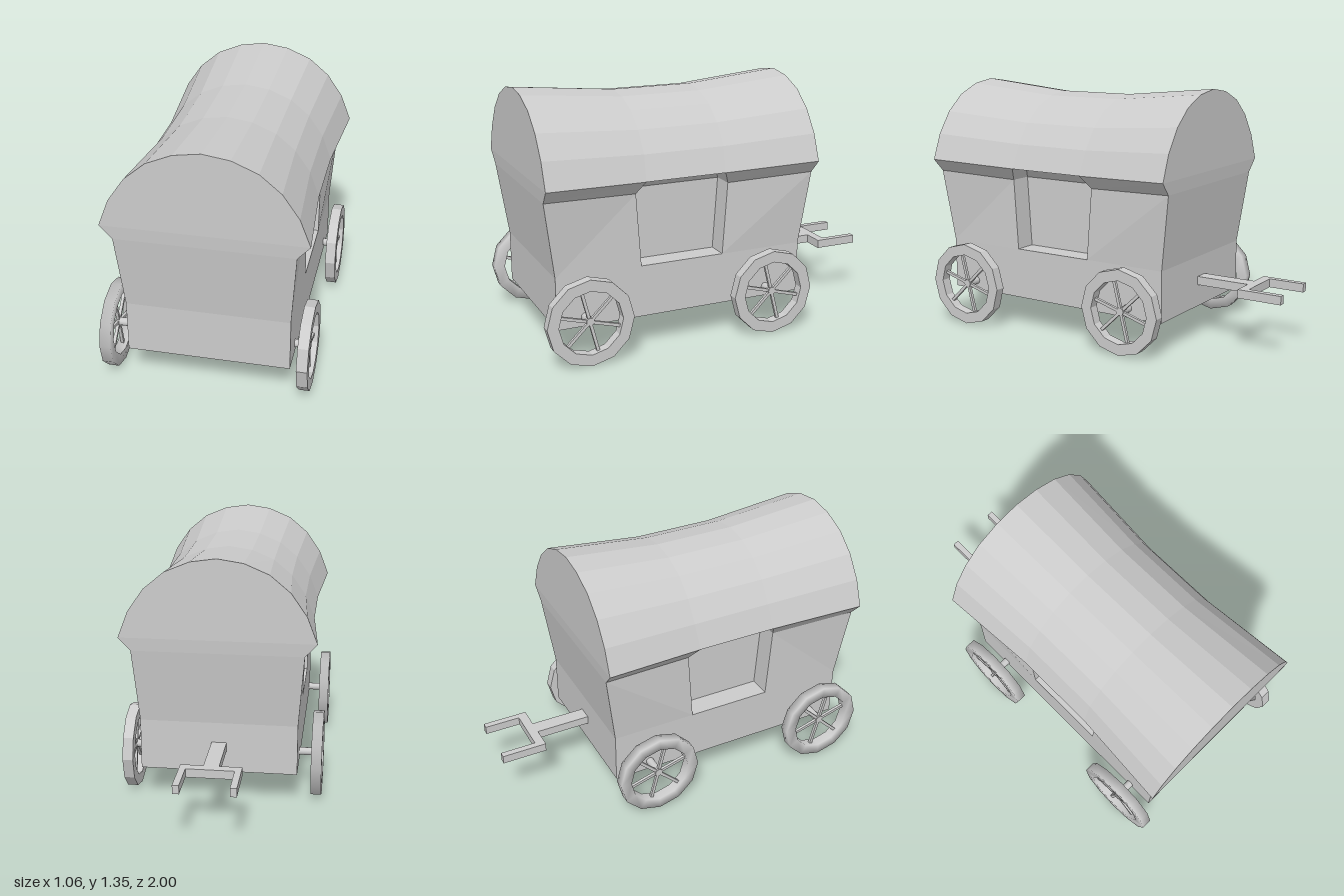
import * as THREE from 'three';

const flat = new THREE.MeshStandardMaterial({ color: 0xcccccc, flatShading: true });
const smooth = new THREE.MeshStandardMaterial({ color: 0xcccccc });
const CX = 0.015; // body centre line

function add(parent, name, geometry, material, x = 0, y = 0, z = 0) {
  const mesh = new THREE.Mesh(geometry, material);
  mesh.name = name;
  mesh.position.set(x, y, z);
  parent.add(mesh);
  return mesh;
}

// Wagon shell: four cross-sections from front to back, with a recess in each side
function bodyGeometry() {
  // half width and height, from the floor up to the ridge
  const endRows = [[0.417, 0.18], [0.417, 0.455], [0.447, 0.855], [0.51, 0.925], [0.456, 1.065],
    [0.373, 1.185], [0.266, 1.275], [0.136, 1.33], [0, 1.35]];
  const midRows = endRows.map(([w, y], i) => {
    if (i < 2) return [w, y];
    if (i === 2) return [0.415, 0.84];
    return [w * 0.922, 0.91 + (y - 0.925) * 0.918];
  });
  // z of each row at the four stations; rows past the last repeat it
  const zRows = [[0.92, 0.46, 0, -0.46], [0.92, 0.46, 0, -0.46], [0.975, 0.485, -0.03, -0.515],
    [0.98, 0.45, 0.01, -0.52], [0.98, 0.44, 0, -0.52]];
  const top = endRows.length - 1;
  const depth = 0.12;
  const pos = [];

  const point = (s, r, inset = 0) => {
    const [w, y] = (s === 0 || s === 3 ? endRows : midRows)[r];
    return [w - inset, y, zRows[Math.min(r, 4)][s]];
  };
  const quad = (side, a, b, c, d) => {
    const order = side > 0 ? [a, b, c, a, c, d] : [a, c, b, a, d, c];
    for (const p of order) pos.push(CX + side * p[0], p[1], p[2]);
  };
  const mirror = ([x, y, z]) => [-x, y, z];

  for (const side of [1, -1]) {
    // walls, eaves and roof strips
    for (let s = 0; s < 3; s++) {
      for (let r = 0; r < top; r++) {
        const inset = s === 1 && (r === 1 || r === 2) ? depth : 0;
        quad(side, point(s, r, inset), point(s + 1, r, inset),
          point(s + 1, r + 1, inset), point(s, r + 1, inset));
      }
    }
    // sill, jambs and head of the recess
    const rim = [[1, 1], [2, 1], [2, 2], [2, 3], [1, 3], [1, 2]];
    rim.forEach((a, i) => {
      const b = rim[(i + 1) % rim.length];
      quad(side, point(...a), point(...b), point(...b, depth), point(...a, depth));
    });
  }
  // front and back walls
  for (let r = 0; r < top; r++) {
    const f = point(0, r), f2 = point(0, r + 1), b = point(3, r), b2 = point(3, r + 1);
    quad(1, mirror(f), f, f2, mirror(f2));
    quad(1, b, mirror(b), mirror(b2), b2);
  }
  // floor
  const f = point(0, 0), b = point(3, 0);
  quad(1, f, mirror(f), mirror(b), b);

  const g = new THREE.BufferGeometry();
  g.setAttribute('position', new THREE.Float32BufferAttribute(pos, 3));
  g.computeVertexNormals();
  return g;
}

// Twelve-sided rim with three crossing pairs of spokes
function makeWheel(name, material) {
  const wheel = new THREE.Group();
  wheel.name = name;
  const ri = 0.17, ro = 0.23, w = 0.028;
  const profile = [[ri, -w], [ro, -w], [ro, w], [ri, w], [ri, -w]].map(p => new THREE.Vector2(...p));
  add(wheel, 'rim', new THREE.LatheGeometry(profile, 12).rotateZ(Math.PI / 2), material);
  for (let i = 0; i < 3; i++) {
    const spoke = add(wheel, 'spokePair', new THREE.BoxGeometry(0.016, 0.35, 0.016), flat);
    spoke.rotation.x = THREE.MathUtils.degToRad(14 + i * 60);
  }
  return wheel;
}

export function createModel() {
  const wagon = new THREE.Group();
  wagon.name = 'coveredWagon';
  add(wagon, 'body', bodyGeometry(), flat);

  // axles and wheels
  for (const [end, z] of [['front', 0.77], ['back', -0.26]]) {
    add(wagon, end + 'Axle', new THREE.CylinderGeometry(0.021, 0.021, 1.03, 12).rotateZ(Math.PI / 2),
      smooth, 0, 0.232, z);
    for (const side of [1, -1]) {
      const wheel = makeWheel(end + (side > 0 ? 'Left' : 'Right') + 'Wheel', side > 0 ? flat : smooth);
      wheel.position.set(side * 0.502, 0.23, z);
      wagon.add(wheel);
    }
  }

  // forked hitch
  const hitch = new THREE.Group();
  hitch.name = 'hitch';
  hitch.position.set(0.0125, 0.322, 0);
  add(hitch, 'pole', new THREE.BoxGeometry(0.08, 0.046, 0.32), flat, 0, 0, -0.6);
  add(hitch, 'crossbar', new THREE.BoxGeometry(0.315, 0.046, 0.05), flat, 0, 0, -0.782);
  for (const side of [1, -1]) {
    add(hitch, 'prong', new THREE.BoxGeometry(0.034, 0.046, 0.193), flat, side * 0.1405, 0, -0.9035);
  }
  wagon.add(hitch);
  return wagon;
}
